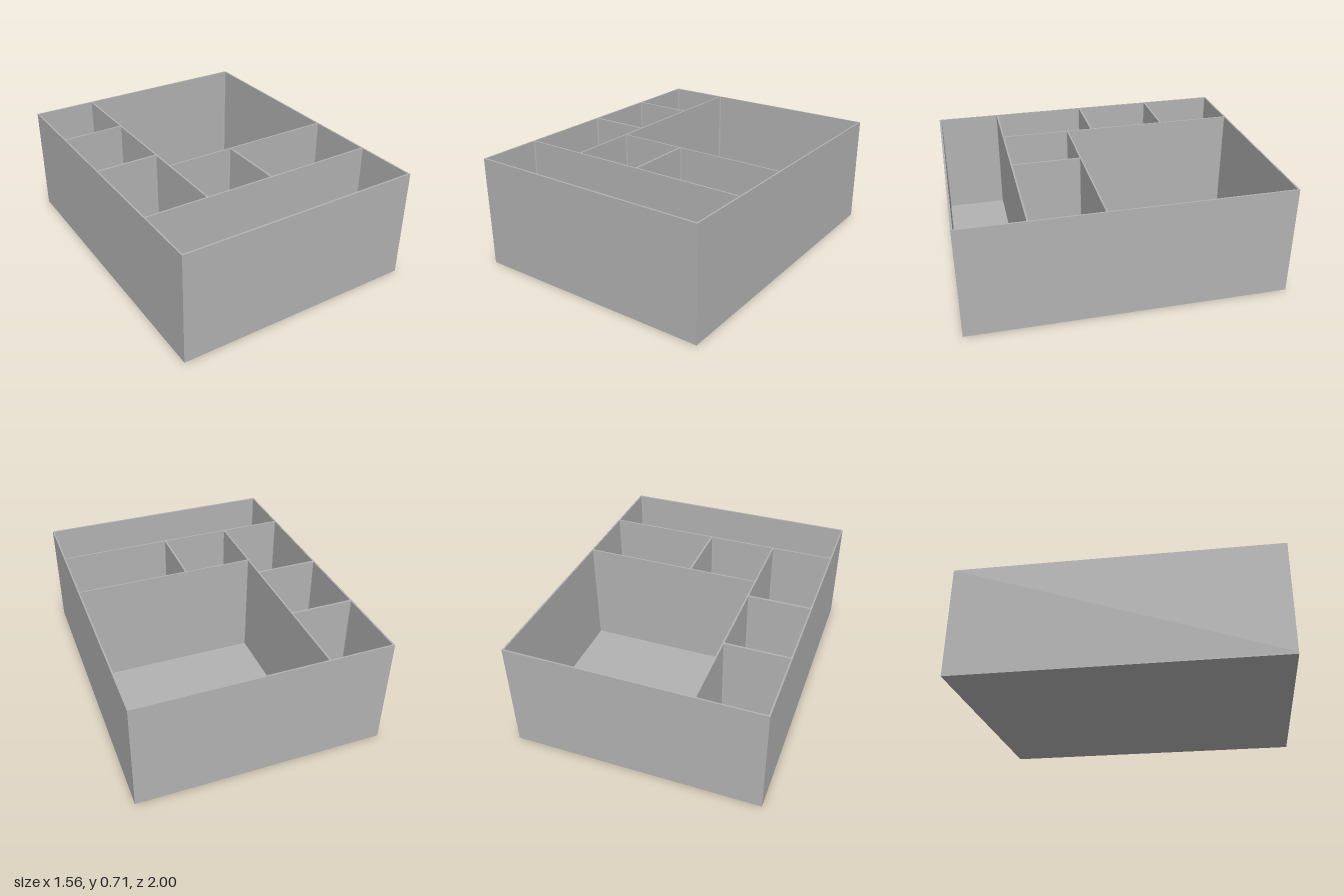
import * as THREE from 'three';

const WIDTH = 1.564, DEPTH = 2, HEIGHT = 0.708, FLOOR = 0.012;

// Compartments: x from, x to, z from, z to
const COMPARTMENTS = [
  [-0.772, -0.381, -0.99, -0.52],
  [-0.772, -0.381, -0.507, -0.022],
  [-0.772, -0.381, -0.008, 0.586],
  [-0.37, 0.772, -0.99, 0.147],
  [-0.37, 0.06, 0.157, 0.586],
  [0.073, 0.772, 0.157, 0.586],
  [-0.772, 0.772, 0.597, 0.988],
];

// Rectangle with slightly rounded corners
function roundedRect(path, [x0, x1, z0, z1], r) {
  path.moveTo(x0 + r, z0);
  path.lineTo(x1 - r, z0);
  path.quadraticCurveTo(x1, z0, x1, z0 + r);
  path.lineTo(x1, z1 - r);
  path.quadraticCurveTo(x1, z1, x1 - r, z1);
  path.lineTo(x0 + r, z1);
  path.quadraticCurveTo(x0, z1, x0, z1 - r);
  path.lineTo(x0, z0 + r);
  path.quadraticCurveTo(x0, z0, x0 + r, z0);
  return path;
}

export function createModel() {
  const model = new THREE.Group();
  model.name = 'compartmentTray';
  const grey = new THREE.MeshStandardMaterial({ color: 0xb2b2b2 });
  grey.name = 'grey';

  // Outer walls and dividers: one block pierced by the compartments
  const w = WIDTH / 2, d = DEPTH / 2;
  const plan = new THREE.Shape([
    new THREE.Vector2(-w, -d), new THREE.Vector2(w, -d),
    new THREE.Vector2(w, d), new THREE.Vector2(-w, d),
  ]);
  for (const c of COMPARTMENTS) plan.holes.push(roundedRect(new THREE.Path(), c, 0.008));
  const wallGeometry = new THREE.ExtrudeGeometry(plan, {
    depth: HEIGHT - FLOOR, bevelEnabled: false, curveSegments: 3,
  });
  wallGeometry.rotateX(Math.PI / 2);
  wallGeometry.translate(0, HEIGHT, 0);
  const walls = new THREE.Mesh(wallGeometry, grey);
  walls.name = 'wallsAndDividers';
  model.add(walls);

  // Floor plate
  const floor = new THREE.Mesh(new THREE.BoxGeometry(WIDTH, FLOOR, DEPTH), grey);
  floor.name = 'floor';
  floor.position.y = FLOOR / 2;
  model.add(floor);

  return model;
}
